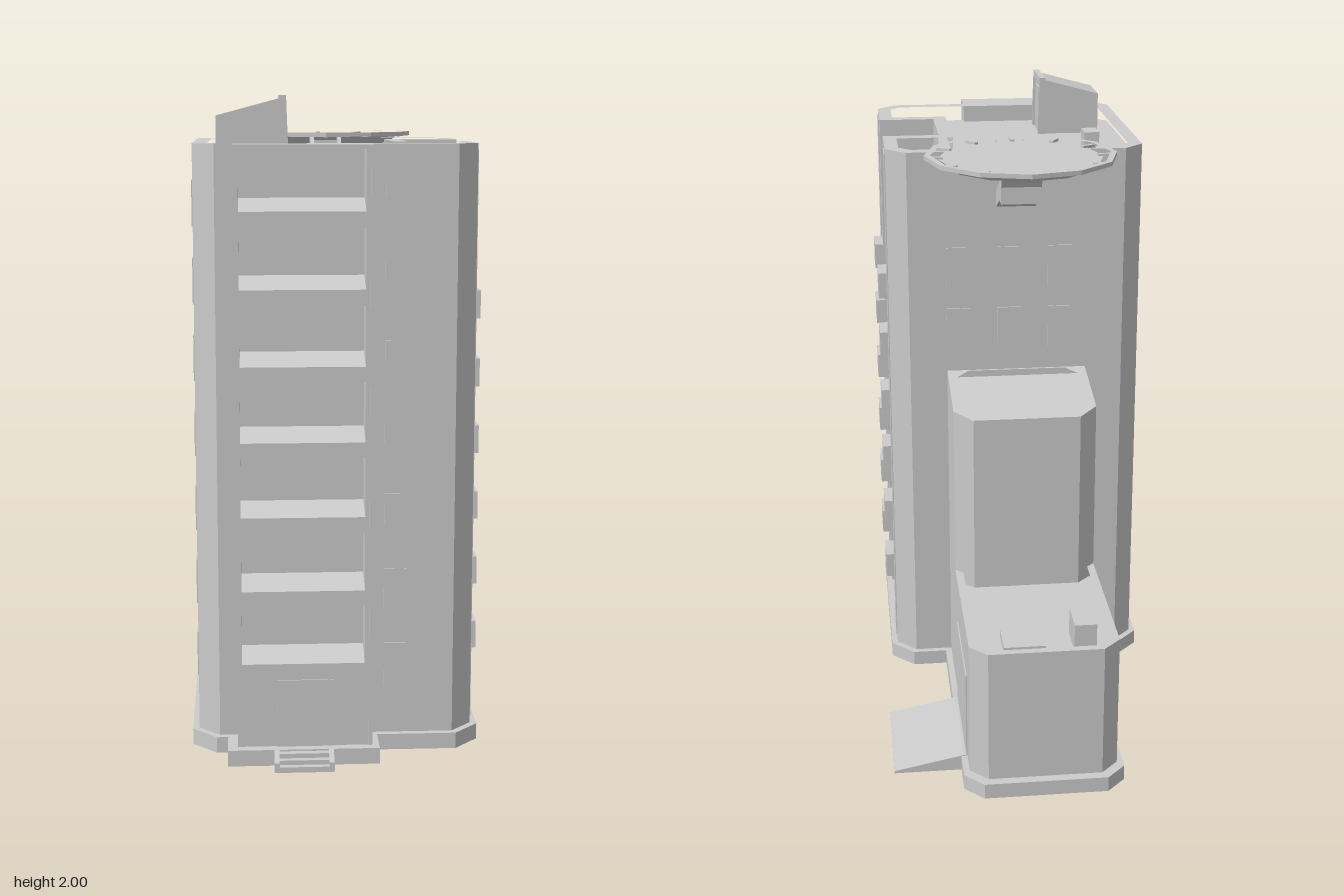
import * as THREE from 'three';

const material = new THREE.MeshStandardMaterial({ color: 0xcccccc, flatShading: true });

// Rectangle in x/z with chamfered corners, shrunk by d
function octagon(x0, x1, z0, z1, c, d = 0) {
  x0 += d; x1 -= d; z0 += d; z1 -= d;
  c -= 0.586 * d;
  return [[x0 + c, z0], [x1 - c, z0], [x1, z0 + c], [x1, z1 - c],
    [x1 - c, z1], [x0 + c, z1], [x0, z1 - c], [x0, z0 + c]];
}

// Tower plan with a notch in its left side, shrunk by d
function towerPlan(notchX, d = 0) {
  const p = octagon(-0.44, 0.41, -0.08, 0.77, 0.065, d);
  const x = notchX - d, z0 = 0.2 - d, z1 = 0.485 + d;
  p.splice(3, 0, [0.41 - d, z0], [x, z0], [x, z1], [0.41 - d, z1]);
  return p;
}

// Vertical prism over a plan, optionally hollow
function prism(plan, y0, y1, hole) {
  const toVec = (p) => p.map(([x, z]) => new THREE.Vector2(x, -z));
  const shape = new THREE.Shape(toVec(plan));
  if (hole) shape.holes.push(new THREE.Path(toVec(hole)));
  return new THREE.ExtrudeGeometry(shape, { depth: y1 - y0, bevelEnabled: false })
    .rotateX(-Math.PI / 2).translate(0, y0, 0);
}

// Box given by its limits
function box(x0, x1, y0, y1, z0, z1) {
  return new THREE.BoxGeometry(x1 - x0, y1 - y0, z1 - z0)
    .translate((x0 + x1) / 2, (y0 + y1) / 2, (z0 + z1) / 2);
}

// Profile in x/y extruded from z0 to z1
function profileXY(points, z0, z1) {
  const shape = new THREE.Shape(points.map(([x, y]) => new THREE.Vector2(x, y)));
  return new THREE.ExtrudeGeometry(shape, { depth: z1 - z0, bevelEnabled: false }).translate(0, 0, z0);
}

// Profile in z/y extruded from x0 to x1
function profileZY(points, x0, x1) {
  return profileXY(points.map(([z, y]) => [-z, y]), x0, x1).rotateY(Math.PI / 2);
}

export function createModel() {
  const model = new THREE.Group();
  const add = (name, geometry, parent = model) => {
    const mesh = new THREE.Mesh(geometry, material);
    mesh.name = name;
    parent.add(mesh);
    return mesh;
  };
  const group = (name) => {
    const g = new THREE.Group();
    g.name = name;
    model.add(g);
    return g;
  };

  // Plinth
  const plinth = group('plinth');
  add('towerPlinth', prism(octagon(-0.46, 0.43, -0.1, 0.79, 0.075), 0, 0.05), plinth);
  add('bayPlinth', box(-0.35, 0.11, 0, 0.05, 0.7, 0.9), plinth);
  add('annexPlinth', prism(octagon(-0.27, 0.24, -0.96, 0, 0.06), 0, 0.05), plinth);

  // Tower body, recessed roof and parapet
  const tower = group('tower');
  add('towerBody', prism(towerPlan(0.36), 0.05, 1.65), tower);
  add('towerTop', prism(towerPlan(0.22), 1.65, 1.8), tower);
  add('towerParapet', prism(towerPlan(0.22), 1.8, 1.86, towerPlan(0.22, 0.045)), tower);

  // Front bay: solid back and a deep pierced front
  const bay = group('frontBay');
  add('bayBack', box(-0.32, 0.09, 0.05, 1.86, 0.74, 0.79), bay);
  const face = new THREE.Shape([[-0.32, 0.05], [0.09, 0.05], [0.09, 1.86], [-0.32, 1.86]]
    .map(([x, y]) => new THREE.Vector2(x, y)));
  for (let i = 0; i < 7; i++) {
    const y = 0.31 + i * 0.2265;
    face.holes.push(new THREE.Path([[-0.305, y], [-0.305, y + 0.18], [0.065, y + 0.18], [0.065, y]]
      .map(([x, h]) => new THREE.Vector2(x, h))));
    add('slopedBalconyFloor', profileZY([[0.78, y], [0.868, y], [0.78, y + 0.04]], -0.305, 0.065), bay);
  }
  add('bayFront', new THREE.ExtrudeGeometry(face, { depth: 0.085, bevelEnabled: false })
    .translate(0, 0, 0.785), bay);
  add('bayTrim', box(0.078, 0.086, 0.05, 1.86, 0.86, 0.875), bay);
  add('frontDoor', box(-0.2, -0.03, 0.05, 0.26, 0.86, 0.874), bay);

  // Entrance steps
  const steps = group('entranceSteps');
  for (let i = 0; i < 3; i++) {
    add('step', box(-0.195, -0.045, 0, 0.045 - i * 0.014, 0.88, 0.92 + i * 0.018), steps);
  }
  for (const x of [-0.21, -0.045]) {
    add('stepCheek', profileZY([[0.88, 0], [0.955, 0], [0.955, 0.03], [0.9, 0.05], [0.88, 0.05]], x, x + 0.015), steps);
  }

  // Windows on the right, front and back walls
  const windows = group('windows');
  for (let i = 0; i < 7; i++) {
    const y = 0.2 + i * 0.235;
    for (const [z, w] of [[0.05, 0.07], [0.34, 0.17], [0.6, 0.08]]) {
      add('rightWindow', box(-0.445, -0.43, y, y + 0.14, z - w / 2, z + w / 2), windows);
    }
    add('frontWindow', box(0.13, 0.2, y, y + 0.14, 0.76, 0.774), windows);
  }
  for (const y of [1.19, 1.4]) {
    for (const x of [0.18, 0.01, -0.16]) {
      add('backWindow', box(x - 0.04, x + 0.04, y, y + 0.14, -0.085, -0.07), windows);
    }
  }

  // Left wall: tall panels, balcony boxes, notch windows
  const leftWall = group('leftWall');
  for (const z of [0, 0.59]) {
    add('tallPanel', box(0.4, 0.413, 0.07, 1.84, z, z + 0.108), leftWall);
  }
  for (let i = 0; i < 6; i++) {
    const y = 0.26 + i * 0.212;
    for (const z of [0.095, 0.48]) {
      add('balconyBox', box(0.4, 0.44, y, y + 0.088, z, z + 0.118), leftWall);
    }
    for (const z of [0.24, 0.385]) {
      add('notchWindow', box(0.35, 0.364, y, y + 0.13, z, z + 0.06), leftWall);
    }
  }

  // Roof stair house with a slanted top and framed door
  const stairHouse = group('stairHouse');
  add('stairHouseBody', profileXY([[-0.37, 1.79], [-0.165, 1.79], [-0.165, 1.995], [-0.37, 1.94]], 0.485, 0.66), stairHouse);
  for (const z of [0.48, 0.65]) {
    add('doorSide', profileXY([[-0.18, 1.79], [-0.155, 1.79], [-0.155, 1.86], [-0.16, 2], [-0.18, 1.995]], z, z + 0.015), stairHouse);
  }
  add('doorHead', box(-0.18, -0.16, 1.975, 2, 0.48, 0.665), stairHouse);
  add('stairHouseDoor', box(-0.17, -0.161, 1.79, 1.96, 0.53, 0.615), stairHouse);
  add('roofVent', box(-0.32, -0.27, 1.79, 1.872, 0.13, 0.21));

  // Middle block with a sloping top
  const slope = (geometry) => {
    const p = geometry.attributes.position;
    for (let i = 0; i < p.count; i++) {
      if (p.getY(i) > 1) p.setY(i, p.getY(i) + 0.19 * (p.getZ(i) + 0.08));
    }
    geometry.computeVertexNormals();
    return geometry;
  };
  const middle = group('middleBlock');
  const middlePlan = (d) => octagon(-0.25, 0.22, -0.4, d ? -0.06 : 0, 0.06, d);
  add('middleBody', slope(prism(middlePlan(0), 0.44, 1.085)), middle);
  add('middleParapet', slope(prism(middlePlan(0), 1.085, 1.11, middlePlan(0.025))), middle);
  add('sidePanel', box(-0.254, -0.24, 0.1, 1, -0.31, -0.12), middle);

  // Low annex with roof units, garage door and ramp
  const annex = group('annex');
  add('annexBody', prism(octagon(-0.25, 0.22, -0.93, 0, 0.055), 0.05, 0.45), annex);
  add('annexParapet', prism(octagon(-0.25, 0.22, -0.93, 0, 0.055), 0.45, 0.49,
    octagon(-0.25, 0.22, -0.93, -0.3, 0.055, 0.025)), annex);
  add('roofUnit', box(-0.18, -0.11, 0.44, 0.54, -0.865, -0.745), annex);
  add('roofHatch', box(-0.02, 0.11, 0.44, 0.475, -0.865, -0.745), annex);
  add('garageDoor', box(0.21, 0.224, 0.05, 0.34, -0.79, -0.43), annex);
  add('garageRamp', profileXY([[0.2, 0], [0.455, 0], [0.455, 0.008], [0.23, 0.053], [0.2, 0.053]], -0.79, -0.43), annex);

  // Helipad: deck, outer ring on spokes, bracket and stair
  const pad = group('helipad');
  const px = -0.013, pz = -0.22;
  const polygon = (r) => Array.from({ length: 12 }, (_, i) => {
    const a = i * Math.PI / 6;
    return [px + r * Math.cos(a), pz + r * Math.sin(a)];
  });
  add('deck', new THREE.CylinderGeometry(0.265, 0.235, 0.025, 12).translate(px, 1.8545, pz), pad);
  add('ring', prism(polygon(0.308), 1.866, 1.88, polygon(0.288)), pad);
  for (let i = 0; i < 12; i++) {
    add('spoke', new THREE.BoxGeometry(0.05, 0.01, 0.014).translate(0.272, 1.869, 0)
      .rotateY(i * Math.PI / 6).translate(px, 0, pz), pad);
  }
  add('bracket', profileZY([[-0.07, 1.67], [-0.18, 1.72], [-0.24, 1.72], [-0.24, 1.775], [-0.285, 1.845],
    [-0.14, 1.845], [-0.18, 1.78], [-0.07, 1.725]], px - 0.065, px + 0.065), pad);
  for (let i = 0; i < 3; i++) {
    add('padStep', box(-0.05, 0.024, 1.8, 1.855 - i * 0.017, 0.02, 0.085 + i * 0.018), pad);
  }
  for (const x of [-0.065, 0.025]) {
    add('padStairCheek', profileZY([[0.03, 1.8], [0.135, 1.8], [0.135, 1.825], [0.08, 1.866], [0.03, 1.866]], x, x + 0.012), pad);
  }

  return model;
}
